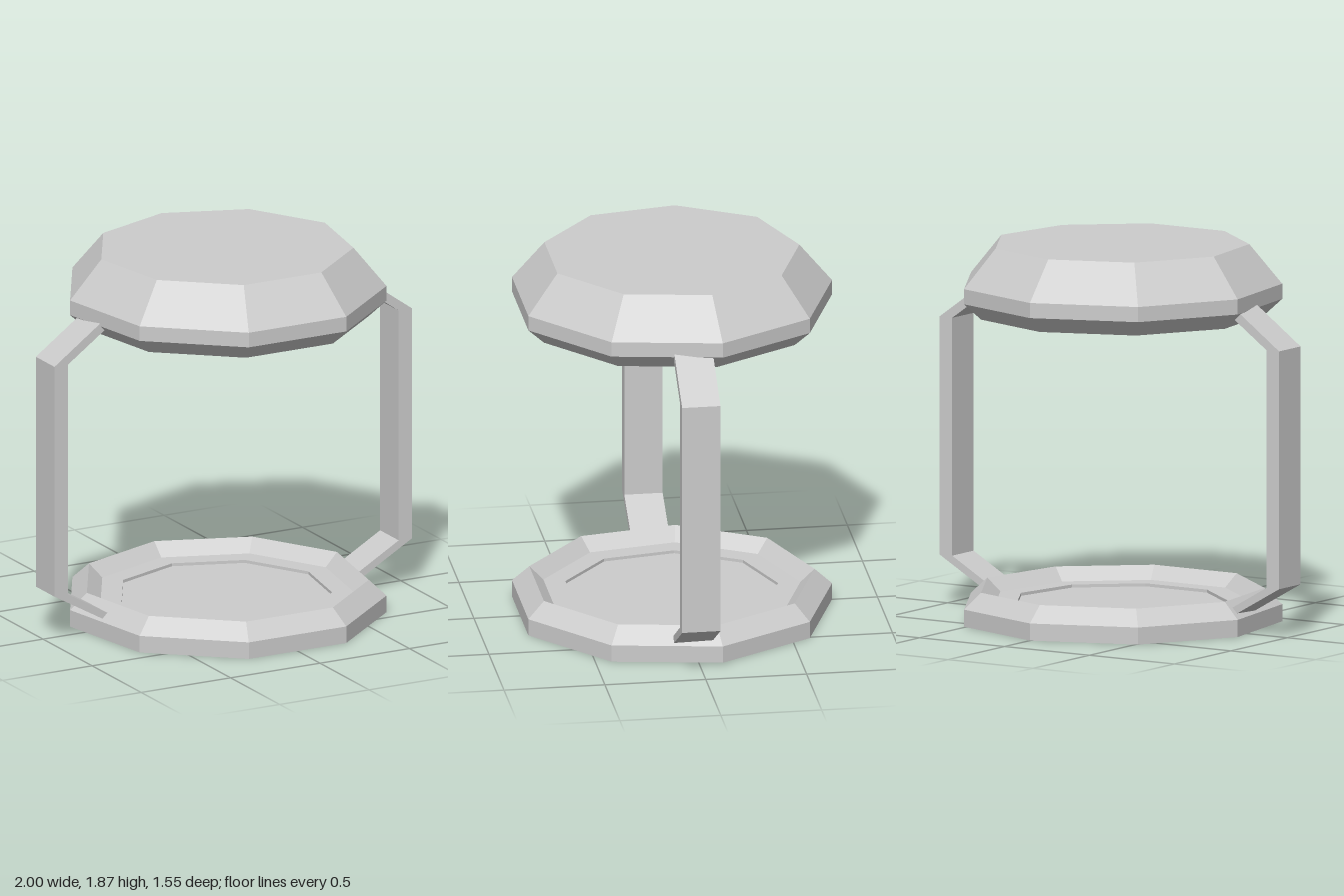
import * as THREE from 'three';

const SIDES = 9;

function createMaterial() {
  return new THREE.MeshStandardMaterial({ color: 0xcccccc, flatShading: true });
}

// Nine-sided turned part with one corner pointing to the back
function turned(name, profile, material) {
  const points = profile.map(([r, y]) => new THREE.Vector2(r, y));
  const mesh = new THREE.Mesh(new THREE.LatheGeometry(points, SIDES, Math.PI, Math.PI * 2), material);
  mesh.name = name;
  return mesh;
}

export function createModel() {
  const model = new THREE.Group();
  model.name = 'lantern';
  const material = createMaterial();

  // Bevelled base dish with a stepped recess
  model.add(turned('base', [
    [0, 0], [0.797, 0], [0.797, 0.085], [0.71, 0.165],
    [0.64, 0.1], [0.53, 0.1], [0.53, 0.085], [0, 0.085],
  ], material));

  // Bevelled cap, hollow from below
  model.add(turned('cap', [
    [0, 1.81], [0.51, 1.81], [0.53, 1.595], [0.64, 1.595], [0.71, 1.52],
    [0.797, 1.6], [0.797, 1.675], [0.635, 1.87], [0, 1.87],
  ], material));

  // Bent side brackets whose ends run into the base and cap
  const outline = new THREE.Shape([
    [0.58, 0.01], [1, 0.25], [1, 1.43], [0.57, 1.74],
    [0.54, 1.705], [0.925, 1.43], [0.925, 0.25], [0.56, 0.04],
  ].map(([x, y]) => new THREE.Vector2(x, y)));
  const depth = 0.19;
  const bracket = new THREE.ExtrudeGeometry(outline, { depth, bevelEnabled: false });
  bracket.translate(0, 0, -depth / 2);
  ['leftBracket', 'rightBracket'].forEach((name, i) => {
    const mesh = new THREE.Mesh(bracket, material);
    mesh.name = name;
    mesh.rotation.y = i * Math.PI;
    model.add(mesh);
  });

  // Centre the nine-sided outline front to back
  model.children.forEach((part) => { part.position.z = 0.022; });
  return model;
}
